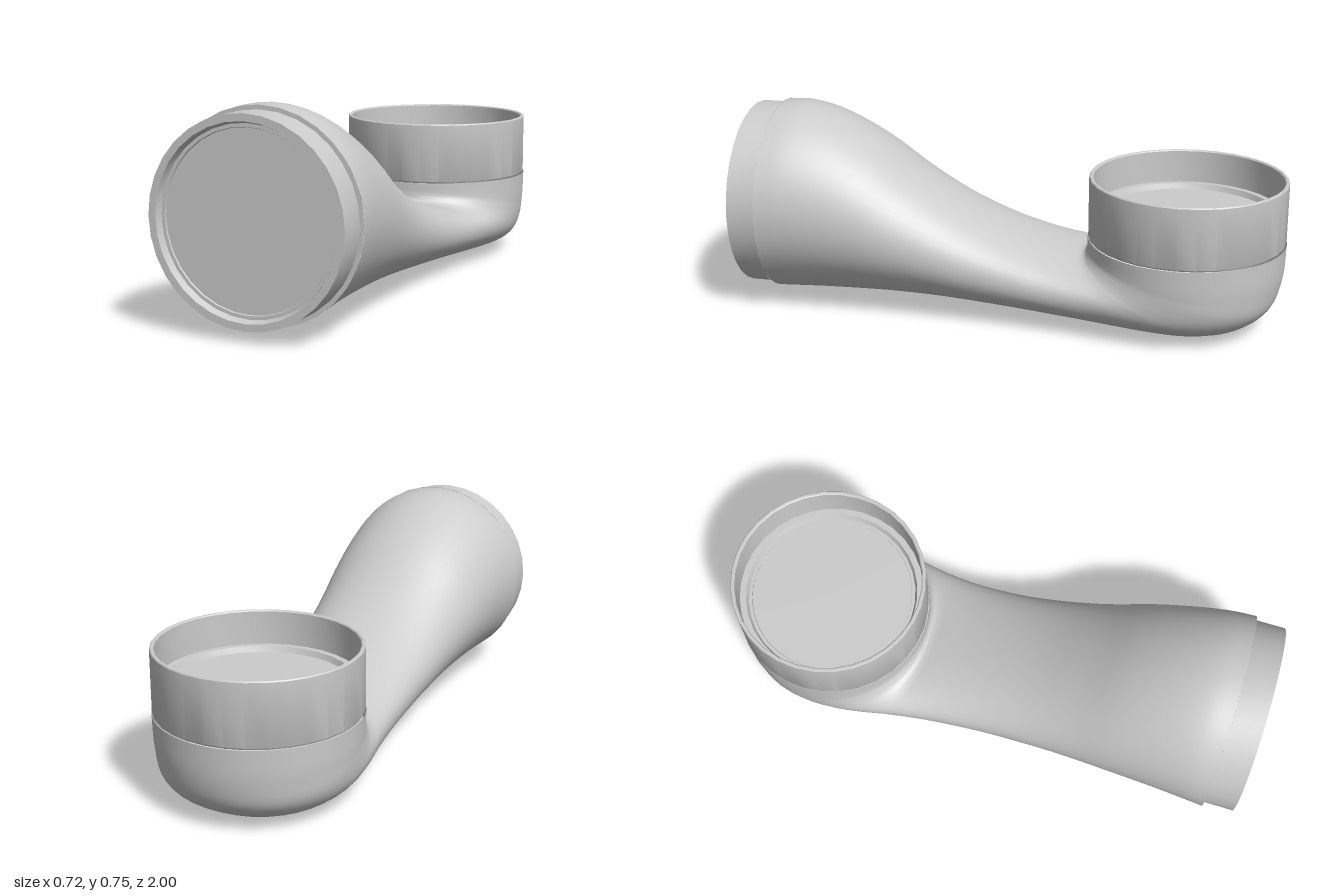
import * as THREE from 'three';
import { toCreasedNormals } from 'three/addons/utils/BufferGeometryUtils.js';

const material = new THREE.MeshStandardMaterial({ color: 0xcccccc, side: THREE.DoubleSide });

function addMesh(group, name, geometry) {
  const mesh = new THREE.Mesh(toCreasedNormals(geometry, 0.6), material);
  mesh.name = name;
  group.add(mesh);
  return mesh;
}

const lathe = (points) =>
  new THREE.LatheGeometry(points.map(([r, y]) => new THREE.Vector2(r, y)), 32);

// Bent pipe: each section spans a top point and a bottom point on the centre plane.
// [top z, top y, bottom z, bottom y, half width, roundness]
const SECTIONS = [
  [0.89, 0.745, 0.89, 0.03, 0.36, 1],
  [0.80, 0.747, 0.83, 0.032, 0.354, 1],
  [0.68, 0.715, 0.72, 0.037, 0.342, 1],
  [0.52, 0.635, 0.56, 0.042, 0.325, 1],
  [0.35, 0.515, 0.38, 0.045, 0.304, 1],
  [0.18, 0.41, 0.19, 0.043, 0.289, 0.97],
  [0.02, 0.337, 0.0, 0.035, 0.283, 0.94],
  [-0.12, 0.288, -0.22, 0.023, 0.29, 0.92],
  [-0.21, 0.262, -0.43, 0.012, 0.308, 0.9],
  [-0.25, 0.252, -0.61, 0.004, 0.328, 0.9],
  [-0.265, 0.252, -0.76, 0.006, 0.341, 0.9],
  [-0.272, 0.256, -0.88, 0.034, 0.349, 0.92],
  [-0.276, 0.264, -0.96, 0.095, 0.354, 0.95],
  [-0.279, 0.28, -0.992, 0.19, 0.358, 1],
  [-0.28, 0.32, -1.0, 0.32, 0.36, 1],
];

function bentPipe(steps = 56, sides = 48) {
  const curve = (f) => new THREE.CatmullRomCurve3(SECTIONS.map(f));
  const top = curve((s) => new THREE.Vector3(0, s[1], s[0]));
  const bottom = curve((s) => new THREE.Vector3(0, s[3], s[2]));
  const shape = curve((s) => new THREE.Vector3(s[4], s[5], 0));
  const soften = (v, e) => Math.sign(v) * Math.pow(Math.abs(v), e);
  const positions = [];
  const index = [];
  for (let i = 0; i <= steps; i++) {
    const t = i / steps;
    const a = top.getPoint(t);
    const b = bottom.getPoint(t);
    const { x: width, y: round } = shape.getPoint(t);
    const centre = a.clone().add(b).multiplyScalar(0.5);
    const up = a.sub(centre);
    for (let j = 0; j < sides; j++) {
      const angle = (j / sides) * Math.PI * 2;
      const p = centre.clone().addScaledVector(up, soften(Math.cos(angle), round));
      positions.push(soften(Math.sin(angle), round) * width, p.y, p.z);
      if (i === steps) continue;
      const k = (j + 1) % sides;
      const r = i * sides;
      const n = r + sides;
      index.push(r + j, r + k, n + j, r + k, n + k, n + j);
    }
  }
  const geometry = new THREE.BufferGeometry();
  geometry.setAttribute('position', new THREE.Float32BufferAttribute(positions, 3));
  geometry.setIndex(index);
  return geometry;
}

export function createModel() {
  const group = new THREE.Group();
  group.name = 'pipeElbow';

  addMesh(group, 'bentPipe', bentPipe());

  // Front cuff: narrower sleeve with a slightly recessed lid
  const cuff = addMesh(group, 'frontCuff', lathe([
    [0.36, 0], [0.345, 0], [0.345, 0.11], [0.32, 0.11],
    [0.312, 0.085], [0.3, 0.085], [0.298, 0.08], [0, 0.08],
  ]).rotateX(Math.PI / 2));
  cuff.position.set(0, 0.3875, 0.89);

  // Rear collar: open thin-walled cup with a sunken stepped lid
  const collar = addMesh(group, 'rearCollar', lathe([
    [0.354, 0], [0.358, 0.006], [0.358, 0.226], [0.355, 0.23], [0.347, 0.23],
    [0.343, 0.226], [0.343, 0.105], [0.32, 0.105], [0.312, 0.085],
    [0.3, 0.085], [0.298, 0.09], [0, 0.09],
  ]));
  collar.position.set(0, 0.32, -0.64);

  return group;
}
